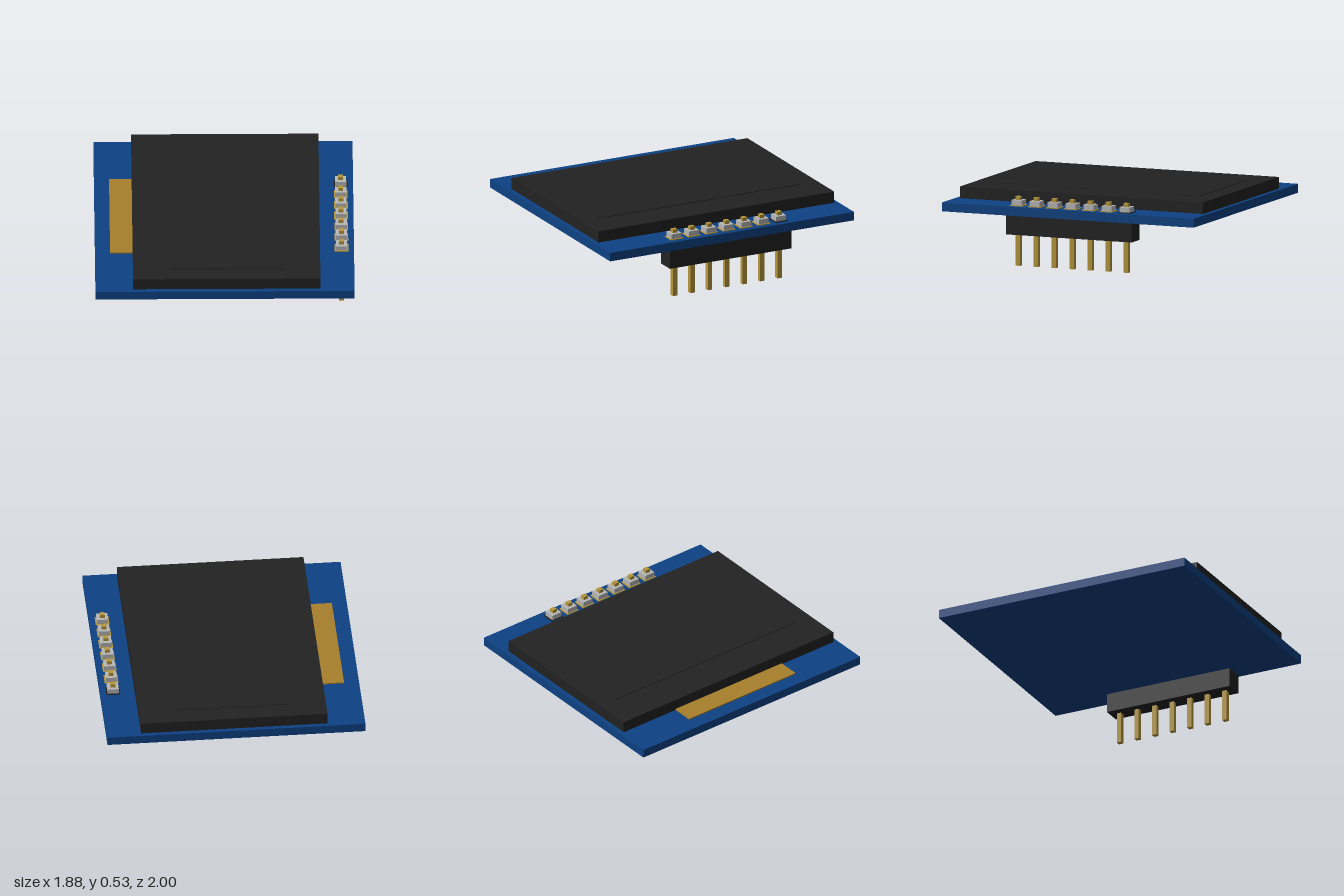
import * as THREE from 'three';

export function createModel() {
  const root = new THREE.Group();
  root.name = 'displayModule';

  const material = (name, color) => {
    const m = new THREE.MeshStandardMaterial({ color });
    m.name = name;
    return m;
  };
  const blue = material('boardBlue', 0x0d4284);
  const black = material('plasticBlack', 0x222222);
  const amber = material('ribbonAmber', 0xa8802c);
  const gold = material('pinGold', 0xb8983c);
  const silver = material('solderSilver', 0xb8b8b8);

  // Box given by its minimum and maximum on each axis
  const box = (name, mat, [x0, x1], [y0, y1], [z0, z1], parent = root) => {
    const mesh = new THREE.Mesh(new THREE.BoxGeometry(x1 - x0, y1 - y0, z1 - z0), mat);
    mesh.position.set((x0 + x1) / 2, (y0 + y1) / 2, (z0 + z1) / 2);
    mesh.name = name;
    parent.add(mesh);
  };

  // Circuit board, screen and ribbon
  box('circuitBoard', blue, [-0.942, 0.942], [0.376, 0.441], [-1, 1]);
  box('screenBody', black, [-0.668, 0.694], [0.441, 0.527], [-0.968, 0.966]);
  box('screenActiveArea', black, [-0.4, 0.44], [0.527, 0.532], [-0.83, 0.836]);
  box('ribbonCable', amber, [-0.832, -0.668], [0.441, 0.45], [-0.49, 0.49]);

  // Pin header under the board
  const header = new THREE.Group();
  header.name = 'pinHeader';
  root.add(header);
  box('headerBlock', black, [0.78, 0.922], [0.234, 0.376], [-0.5, 0.5], header);

  const x = 0.851, pitch = 0.143;
  const around = (c, size) => [c - size / 2, c + size / 2];
  for (let i = -3; i <= 3; i++) {
    const z = i * pitch;
    box('pin', gold, around(x, 0.036), [0, 0.51], around(z, 0.036), header);
    // The first pad is marked in black
    box('pad', i === -3 ? black : gold, around(x, 0.1), [0.441, 0.447], around(z, 0.1), header);
    box('solder', silver, around(x, 0.082), [0.447, 0.484], around(z, 0.082), header);
  }

  return root;
}
